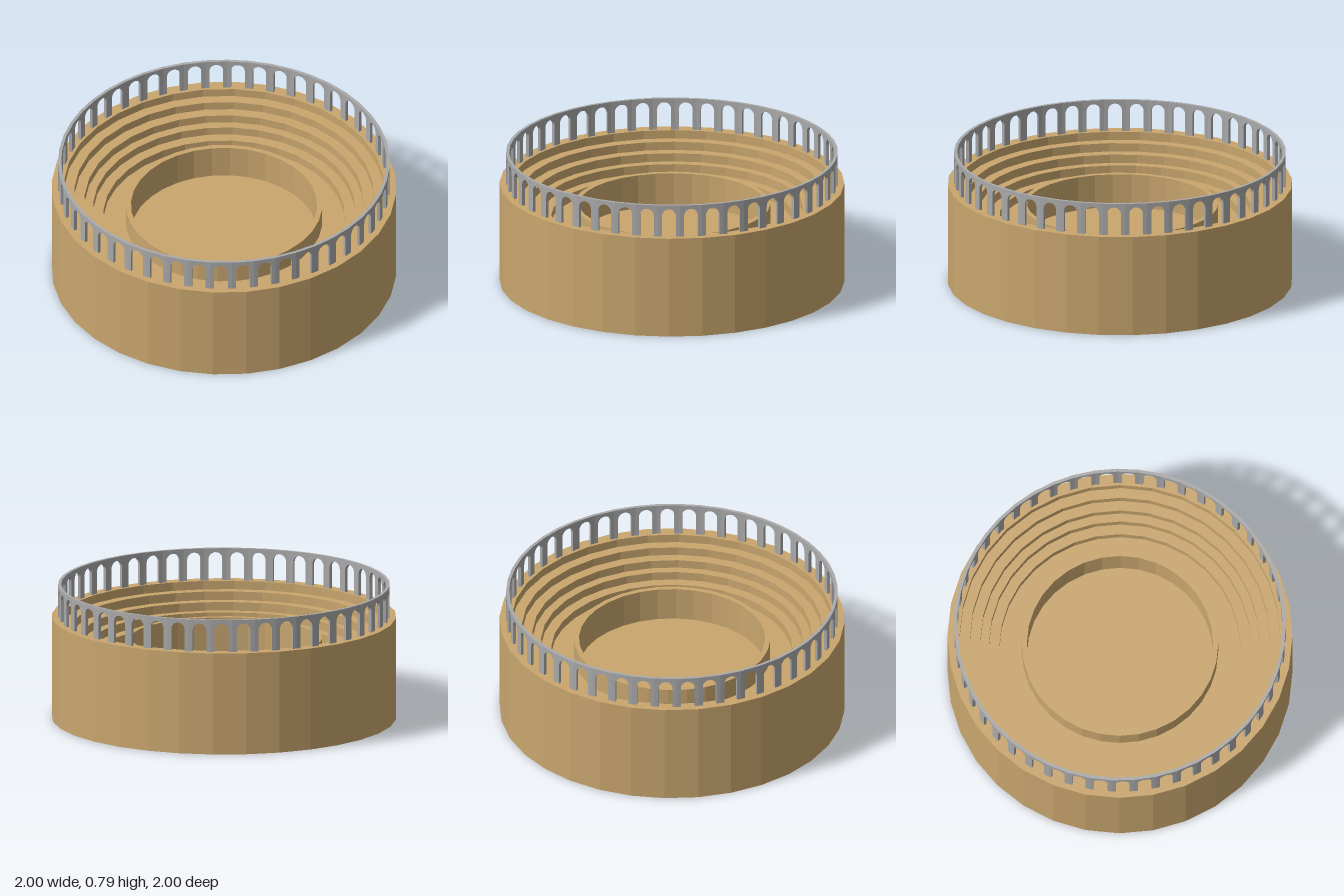
import * as THREE from 'three';

const stone = new THREE.MeshStandardMaterial({ color: 0xc9a66e });
stone.name = 'sandstone';
const grey = new THREE.MeshStandardMaterial({ color: 0xaaaaaa });
grey.name = 'greyStone';

// Faceted solid of revolution from [radius, height] pairs
function facetedLathe(profile, sides) {
  const points = profile.map(([r, y]) => new THREE.Vector2(r, y));
  const geometry = new THREE.LatheGeometry(points, sides).toNonIndexed();
  geometry.computeVertexNormals();
  return geometry;
}

// One flat panel with a round-headed opening down to its foot
function archPanel(width, height, openWidth, openHeight, depth) {
  const w = width / 2, r = openWidth / 2, spring = openHeight - r;
  const shape = new THREE.Shape();
  shape.moveTo(-w, 0);
  shape.lineTo(-r, 0);
  shape.lineTo(-r, spring);
  shape.absarc(0, spring, r, Math.PI, 0, true);
  shape.lineTo(r, 0);
  shape.lineTo(w, 0);
  shape.lineTo(w, height);
  shape.lineTo(-w, height);
  return new THREE.ExtrudeGeometry(shape, { depth, bevelEnabled: false, curveSegments: 10 });
}

export function createModel() {
  const model = new THREE.Group();
  model.name = 'amphitheatre';

  // Outer wall, descending seat tiers, passage, podium wall and arena floor
  const profile = [[0, 0], [1, 0], [1, 0.6]];
  const tiers = [0.93, 0.87, 0.81, 0.76, 0.7];
  let y = 0.6;
  for (const r of tiers) {
    profile.push([r, y]);
    y -= 0.05;
    profile.push([r, y]);
  }
  profile.push([0.57, y], [0.57, 0.47], [0.54, 0.47], [0.54, 0.27], [0, 0.27]);
  const bowl = new THREE.Mesh(facetedLathe(profile, 32), stone);
  bowl.name = 'seatingBowl';
  model.add(bowl);

  // Ring of arches standing on the rim
  const arcade = new THREE.Group();
  arcade.name = 'arcade';
  const count = 47, radius = 0.96, depth = 0.018;
  const width = 2 * radius * Math.tan(Math.PI / count);
  const panel = archPanel(width, 0.19, 0.08, 0.167, depth);
  panel.translate(0, 0, radius - depth);
  for (let i = 0; i < count; i++) {
    const arch = new THREE.Mesh(panel, grey);
    arch.name = 'arch';
    arch.position.y = 0.6;
    arch.rotation.y = Math.PI / 2 + (i * 2 * Math.PI) / count;
    arcade.add(arch);
  }
  model.add(arcade);
  return model;
}
